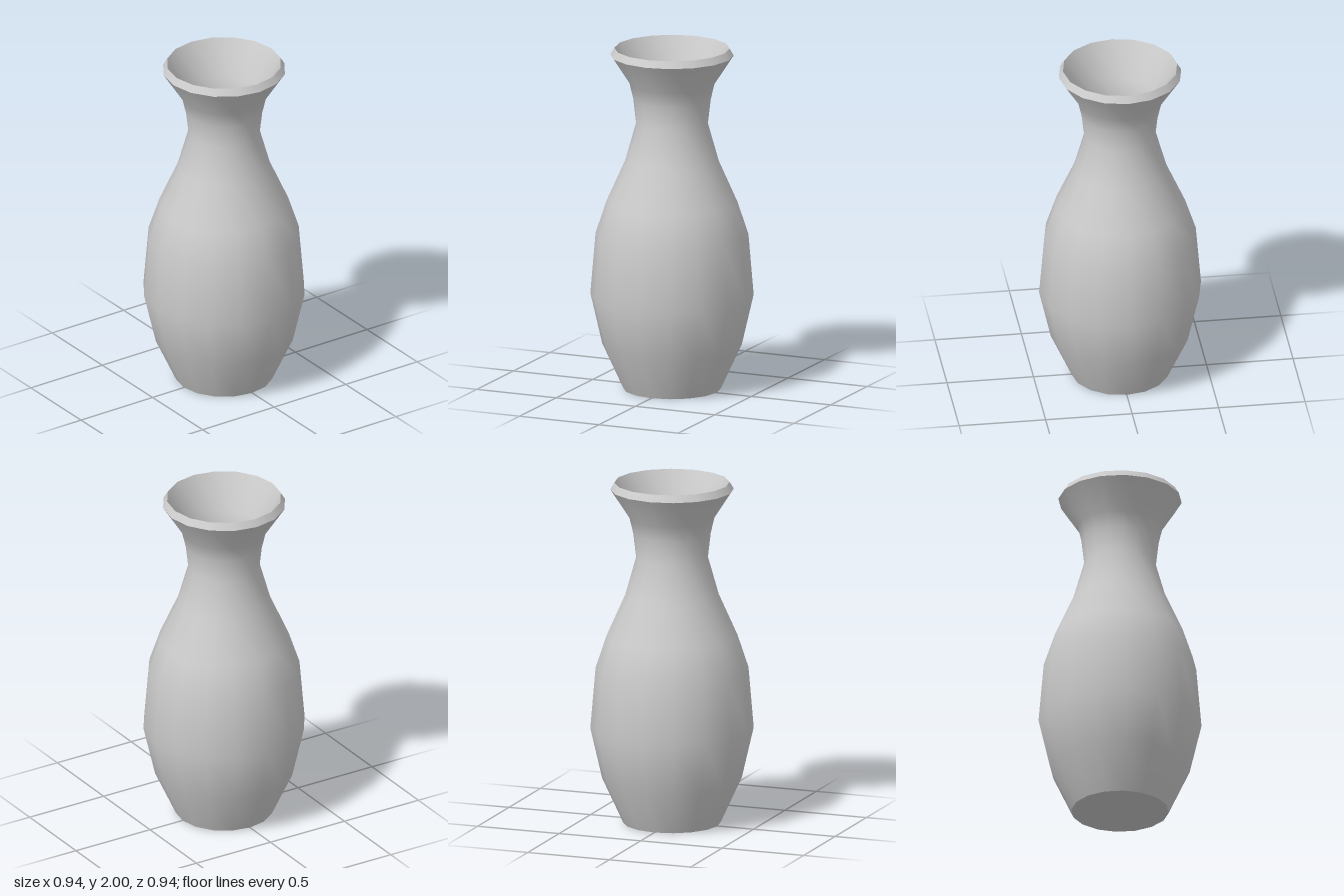
import * as THREE from 'three';

const SIDES = 16;

export function createModel() {
  const vase = new THREE.Group();
  vase.name = 'vase';
  const material = new THREE.MeshStandardMaterial({ color: 0xcccccc });

  // Each band is its own lathe, so edges between bands stay sharp.
  const band = (name, profile) => {
    const points = profile.map(([r, y]) => new THREE.Vector2(r, y));
    const mesh = new THREE.Mesh(new THREE.LatheGeometry(points, SIDES), material);
    mesh.name = name;
    vase.add(mesh);
  };

  // Outer wall, from foot to lip
  band('outerWall', [
    [0.28, 0], [0.4, 0.26], [0.468, 0.555], [0.438, 0.91], [0.375, 1.1],
    [0.268, 1.34], [0.206, 1.56], [0.222, 1.7], [0.243, 1.79], [0.354, 1.96],
  ]);

  // Bevelled lip
  band('lip', [[0.354, 1.96], [0.33, 2]]);

  // Inner wall, from lip down to the floor
  band('innerWall', [
    [0.33, 2], [0.224, 1.8], [0.202, 1.7], [0.185, 1.56], [0.248, 1.33],
    [0.353, 1.09], [0.417, 0.9], [0.446, 0.555], [0.38, 0.27], [0.268, 0.025],
  ]);

  // Flat floor inside and flat underside
  band('innerFloor', [[0.268, 0.025], [0, 0.025]]);
  band('underside', [[0, 0], [0.28, 0]]);

  return vase;
}
